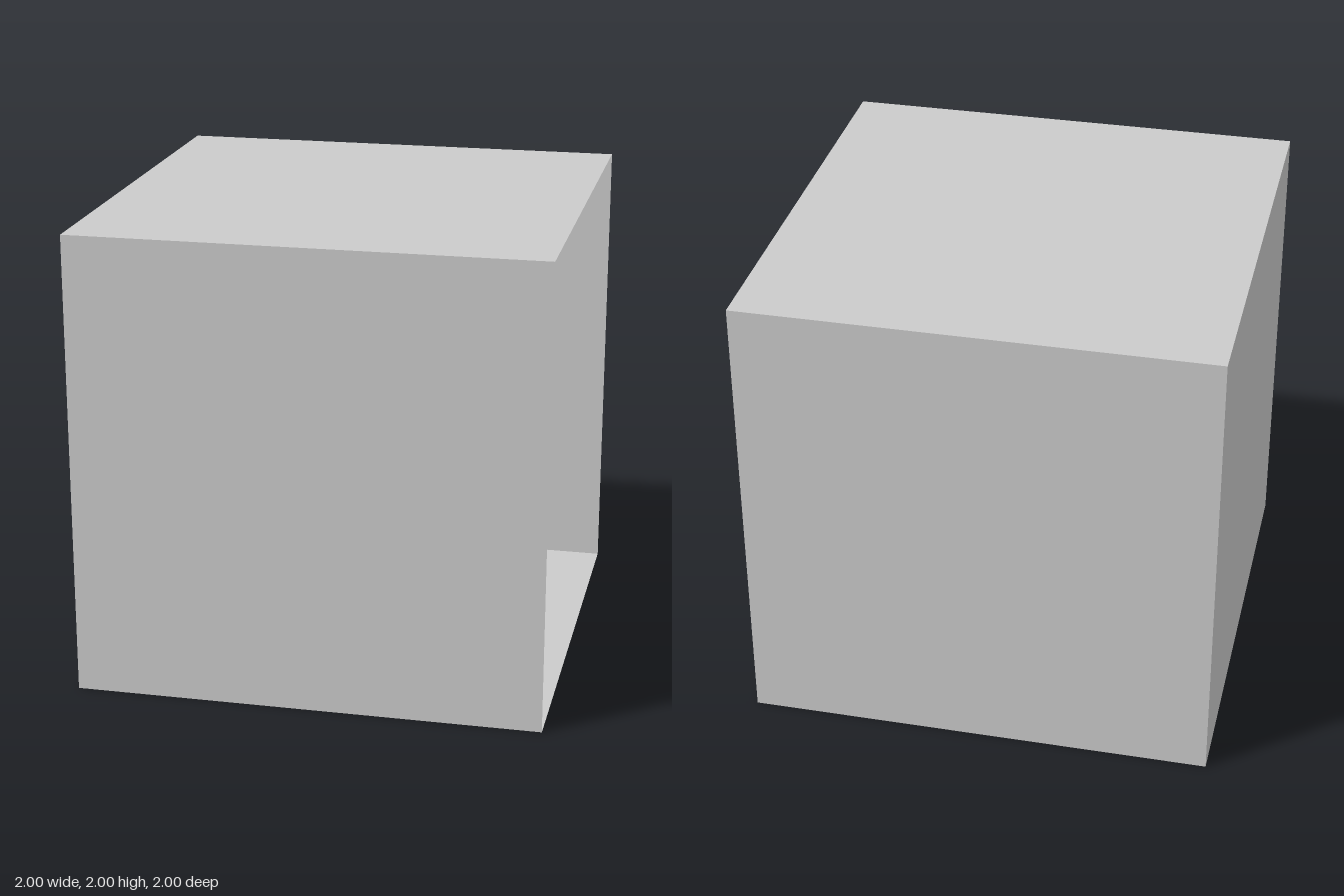
import * as THREE from 'three';

export function createModel() {
  const group = new THREE.Group();

  const add = (name, geometry, color, x, y, z) => {
    const material = new THREE.MeshStandardMaterial({ color, flatShading: true });
    const mesh = new THREE.Mesh(geometry, material);
    mesh.name = name;
    mesh.position.set(x, y, z);
    group.add(mesh);
    return mesh;
  };
  // Box given by its lower and upper limits
  const addBox = (name, color, [x0, x1], [y0, y1], [z0, z1]) =>
    add(name, new THREE.BoxGeometry(x1 - x0, y1 - y0, z1 - z0), color,
      (x0 + x1) / 2, (y0 + y1) / 2, (z0 + z1) / 2);

  // Room shell: a thin cube, open on the +x side (the first face of the box)
  const shell = new THREE.BoxGeometry(2, 2, 2);
  shell.setIndex(Array.from(shell.index.array).slice(6));
  shell.clearGroups();
  add('room', shell, 0xcccccc, 0, 1, 0).material.side = THREE.DoubleSide;

  // Table: square top on a six-sided pedestal
  addBox('tableTop', 0xb27a3f, [-0.29, 0.63], [0.68, 0.755], [-0.455, 0.465]);
  add('tablePedestal', new THREE.CylinderGeometry(0.333, 0.333, 0.67, 6), 0x527bea, 0.14, 0.345, -0.018);

  // Shelf on the back wall with its ornaments
  addBox('shelf', 0x78522a, [-0.36, 0.36], [1.14, 1.175], [-0.995, -0.665]);
  add('redPrism', new THREE.CylinderGeometry(0.1, 0.1, 0.18, 3, 1, false, Math.PI), 0xe60c0c, 0.153, 1.27, -0.805);
  addBox('greenBlock', 0x0a9a0a, [-0.22, -0.05], [1.18, 1.36], [-0.93, -0.765]);

  // Small cube high on the front wall
  addBox('wallCube', 0xcccccc, [-0.07, 0.088], [1.685, 1.84], [0.835, 0.99]);

  return group;
}
